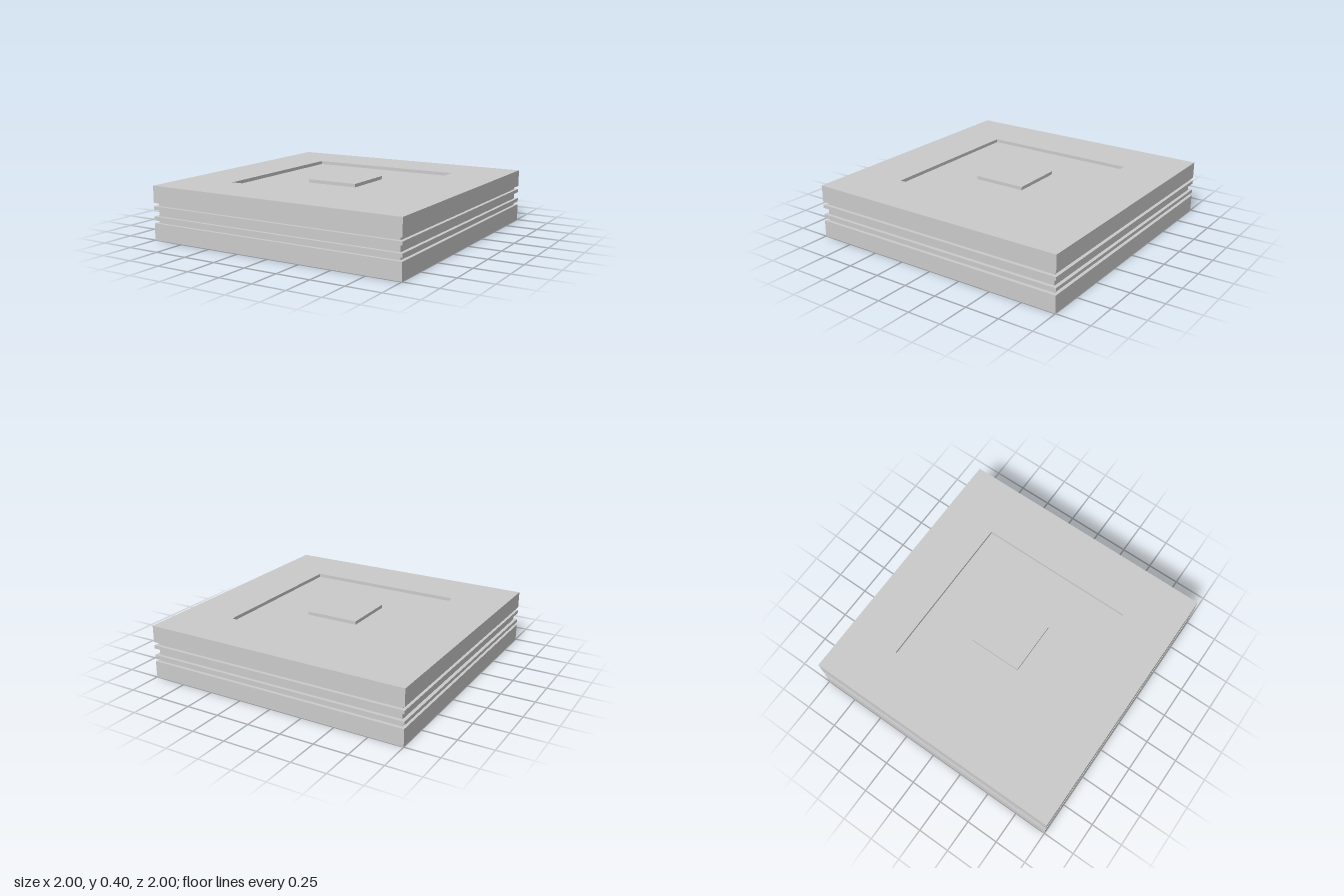
import * as THREE from 'three';

export function createModel() {
  const model = new THREE.Group();
  const material = new THREE.MeshStandardMaterial({ color: 0xcccccc, flatShading: true });

  const add = (name, geometry, y) => {
    const mesh = new THREE.Mesh(geometry, material);
    mesh.name = name;
    mesh.position.y = y;
    model.add(mesh);
  };
  // Square slab of a given width between two heights
  const slab = (name, width, y0, y1) =>
    add(name, new THREE.BoxGeometry(width, y1 - y0, width), (y0 + y1) / 2);
  const square = (Type, h) => new Type([
    new THREE.Vector2(-h, -h), new THREE.Vector2(h, -h),
    new THREE.Vector2(h, h), new THREE.Vector2(-h, h),
  ]);

  // Stacked body: base, slightly inset core, two thin ridges, upper slab
  slab('base', 2, 0, 0.125);
  slab('core', 1.95, 0.125, 0.275);
  slab('lowerRidge', 2, 0.15, 0.175);
  slab('upperRidge', 2, 0.225, 0.25);
  slab('upperSlab', 2, 0.275, 0.375);

  // Top frame around the shallow square recess
  const frame = square(THREE.Shape, 1);
  frame.holes.push(square(THREE.Path, 0.6));
  const rim = new THREE.ExtrudeGeometry(frame, { depth: 0.025, bevelEnabled: false });
  rim.rotateX(-Math.PI / 2);
  add('topFrame', rim, 0.375);

  // Raised pad in the middle of the recess, level with the frame
  slab('centrePad', 0.4, 0.375, 0.4);

  return model;
}
